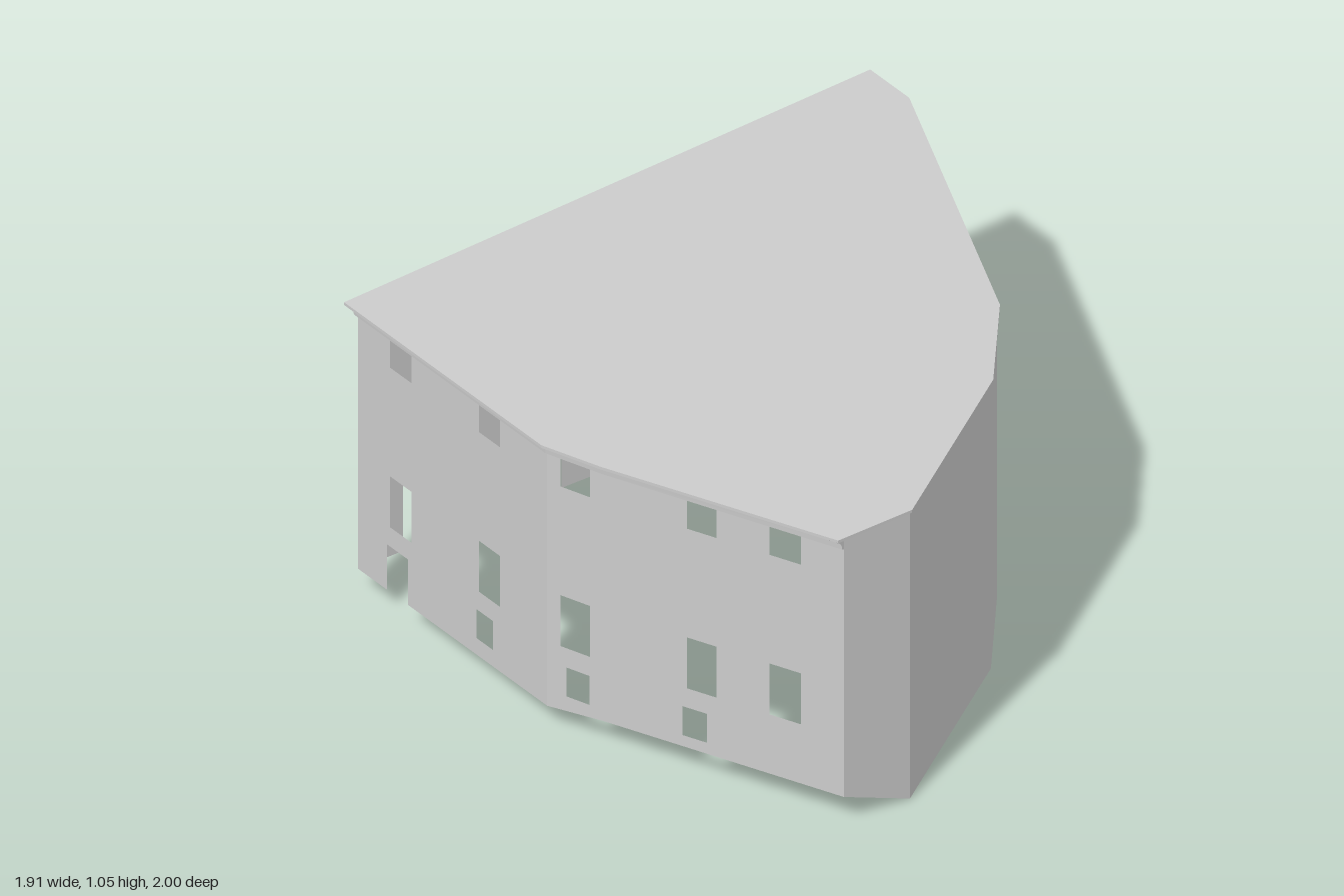
import * as THREE from 'three';

const grey = new THREE.MeshStandardMaterial({ color: 0xcccccc, flatShading: true, side: THREE.DoubleSide });
const WALL_TOP = 1.04, ROOF_TOP = 1.05;

// Footprint of the walls and of the roof, as matching [x, z] corners
const walls = [[-0.93, -0.99], [-0.93, 0.97], [-0.01, 0.97], [0.18, 0.905], [0.94, 0.585],
  [0.948, 0.34], [0.555, -0.275], [0.257, -0.532], [-0.772, -0.99]];
const eaves = [[-0.96, -1], [-0.96, 1], [0, 1], [0.2, 0.93], [0.945, 0.61],
  [0.953, 0.335], [0.56, -0.28], [0.26, -0.54], [-0.77, -1]];
// Height of the wall foot at each corner (the ground slopes)
const foot = [0, 0.085, 0.085, 0.105, 0.105, 0, 0, 0, 0];

// Openings per wall: [from, to, bottom, top] along the given axis; doors reach the foot
const frontRows = (from, to) => [[from, to, 0.32, 0.505], [from, to, 0.9, 1.005]];
const facades = {
  0: { name: 'leftWall', axis: 1,
    windows: [[-0.92, -0.62, 0.855, 1.005], [-0.19, -0.09, 0.915, 1.005], [0.28, 0.38, 0.915, 1.005],
      [0.645, 0.745, 0.905, 1.005], [-0.72, -0.62, 0.49, 0.67], [-0.19, -0.09, 0.5, 0.68],
      [0.28, 0.38, 0.465, 0.65], [0.635, 0.75, 0.455, 0.68]],
    doors: [[-0.81, -0.61, 0.315], [-0.255, -0.07, 0.335], [0.197, 0.35, 0.33, true], [0.58, 0.8, 0.35]] },
  1: { name: 'frontWall', axis: 0,
    windows: [...frontRows(-0.775, -0.67), ...frontRows(-0.343, -0.24), [-0.355, -0.275, 0.145, 0.25]],
    doors: [[-0.79, -0.687, 0.25]] },
  2: { name: 'frontBendWall', axis: 0,
    windows: [...frontRows(0.035, 0.135), [0.055, 0.133, 0.145, 0.25]], doors: [] },
  3: { name: 'frontRightWall', axis: 0,
    windows: [...frontRows(0.445, 0.538), ...frontRows(0.705, 0.805), [0.43, 0.507, 0.145, 0.25]], doors: [] },
};

function addMesh(group, geometry, name) {
  const mesh = new THREE.Mesh(geometry, grey);
  mesh.name = name;
  group.add(mesh);
}

// One flat wall between corner i and the next, with doors cut from its foot
function wallGeometry(i) {
  const j = (i + 1) % walls.length;
  const a = walls[i], b = walls[j];
  const length = Math.hypot(b[0] - a[0], b[1] - a[1]);
  const { axis = 0, windows = [], doors = [] } = facades[i] ?? {};
  const along = v => (v - a[axis]) / (b[axis] - a[axis]) * length;
  const ground = u => THREE.MathUtils.lerp(foot[i], foot[j], u / length);

  const shape = new THREE.Shape();
  shape.moveTo(0, foot[i]);
  for (const [from, to, top, arched] of doors) {
    const u0 = along(from), u1 = along(to);
    shape.lineTo(u0, ground(u0));
    shape.lineTo(u0, top);
    if (arched) shape.absarc((u0 + u1) / 2, top, (u1 - u0) / 2, Math.PI, 0, true);
    else shape.lineTo(u1, top);
    shape.lineTo(u1, ground(u1));
  }
  shape.lineTo(length, foot[j]);
  shape.lineTo(length, WALL_TOP);
  shape.lineTo(0, WALL_TOP);
  shape.closePath();

  for (const [from, to, bottom, top] of windows) {
    const u0 = along(from), u1 = along(to);
    shape.holes.push(new THREE.Path([[u0, bottom], [u0, top], [u1, top], [u1, bottom]]
      .map(p => new THREE.Vector2(...p))));
  }

  const dir = new THREE.Vector3(b[0] - a[0], 0, b[1] - a[1]).normalize();
  const up = new THREE.Vector3(0, 1, 0);
  const out = dir.clone().cross(up);
  const matrix = new THREE.Matrix4().makeBasis(dir, up, out).setPosition(a[0], 0, a[1]);
  return new THREE.ShapeGeometry(shape, 8).applyMatrix4(matrix);
}

// Moulding swept along the left and front walls; profile is [share of overhang, height]
function corniceGeometry() {
  const profile = [[0, 1.005], [0.3, 1.008], [0.35, 1.027], [0.65, 1.033], [0.8, 1.04], [0, 1.04]];
  const n = profile.length, corners = 5, positions = [], index = [];
  for (let i = 0; i < corners; i++) {
    for (const [t, y] of profile) {
      positions.push(THREE.MathUtils.lerp(walls[i][0], eaves[i][0], t), y,
        THREE.MathUtils.lerp(walls[i][1], eaves[i][1], t));
    }
  }
  for (let i = 0; i < corners - 1; i++) {
    for (let k = 0; k < n - 1; k++) {
      const p = i * n + k, q = p + n;
      index.push(p, q, q + 1, p, q + 1, p + 1);
    }
  }
  // End caps
  const last = (corners - 1) * n;
  for (let k = 1; k < n - 1; k++) {
    index.push(0, k, k + 1, last, last + k + 1, last + k);
  }
  const geometry = new THREE.BufferGeometry();
  geometry.setAttribute('position', new THREE.Float32BufferAttribute(positions, 3));
  geometry.setIndex(index);
  const flat = geometry.toNonIndexed();
  flat.computeVertexNormals();
  return flat;
}

export function createModel() {
  const model = new THREE.Group();
  model.name = 'building';

  // Walls, open at the bottom
  const plainNames = { 4: 'rightWall', 5: 'backRightWall', 6: 'backBendWall', 7: 'backWall', 8: 'backEndWall' };
  walls.forEach((_, i) => addMesh(model, wallGeometry(i), facades[i]?.name ?? plainNames[i]));

  addMesh(model, corniceGeometry(), 'cornice');

  // Flat roof slab
  const outline = new THREE.Shape(eaves.map(([x, z]) => new THREE.Vector2(x, -z)));
  const roof = new THREE.ExtrudeGeometry(outline, { depth: ROOF_TOP - WALL_TOP, bevelEnabled: false });
  roof.rotateX(-Math.PI / 2).translate(0, WALL_TOP, 0);
  addMesh(model, roof, 'roof');

  return model;
}
